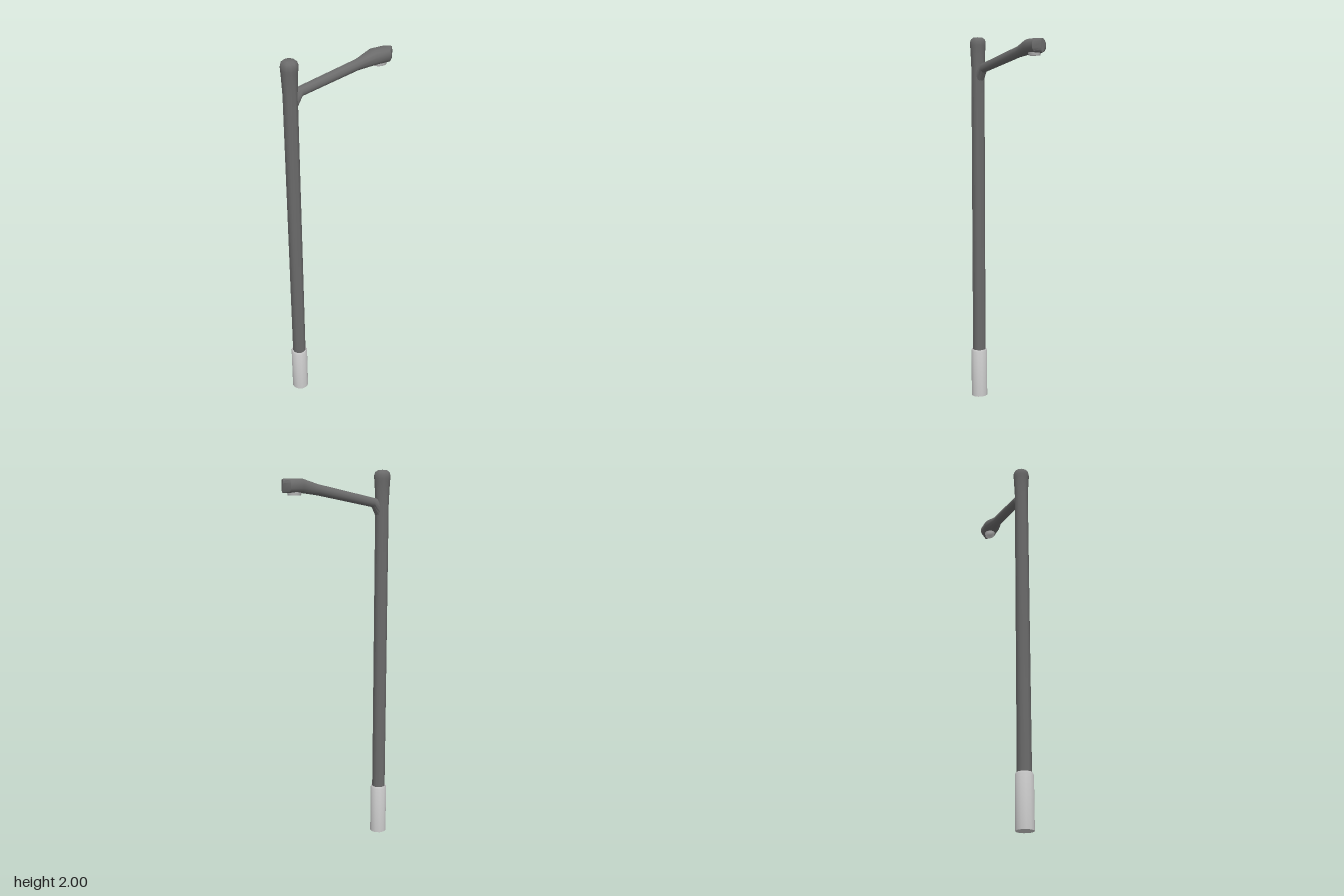
import * as THREE from 'three';
import { toCreasedNormals } from 'three/addons/utils/BufferGeometryUtils.js';

const SIDES = 12;
const POLE_X = -0.255;

// Turned part around the pole axis, profile given as [radius, y] from bottom to top
function turned(name, profile, material) {
  const points = profile.map(([r, y]) => new THREE.Vector2(r, y));
  const geometry = new THREE.LatheGeometry(points, SIDES, Math.PI / SIDES);
  const mesh = new THREE.Mesh(toCreasedNormals(geometry, 0.9), material);
  mesh.name = name;
  mesh.position.x = POLE_X;
  return mesh;
}

// Skin over upright oval sections [x, bottom, top, halfWidth, roundness]
function loft(sections) {
  const positions = [], index = [];
  const soften = (v, p) => Math.sign(v) * Math.abs(v) ** p;
  for (const [x, bottom, top, halfWidth, p] of sections) {
    for (let j = 0; j < SIDES; j++) {
      const a = ((j + 0.5) / SIDES) * Math.PI * 2;
      const k = Math.cos(Math.PI / SIDES) ** p;
      positions.push(
        x,
        (bottom + top) / 2 + ((top - bottom) / 2) * soften(Math.cos(a), p) / k,
        halfWidth * soften(Math.sin(a), p) / k
      );
    }
  }
  for (let i = 0; i < sections.length - 1; i++) {
    for (let j = 0; j < SIDES; j++) {
      const a = i * SIDES + j, b = i * SIDES + (j + 1) % SIDES;
      index.push(a, b, a + SIDES, b, b + SIDES, a + SIDES);
    }
  }
  // Close the far end
  const last = (sections.length - 1) * SIDES;
  for (let j = 1; j < SIDES - 1; j++) index.push(last, last + j, last + j + 1);
  const geometry = new THREE.BufferGeometry();
  geometry.setAttribute('position', new THREE.Float32BufferAttribute(positions, 3));
  geometry.setIndex(index);
  return toCreasedNormals(geometry, 0.7);
}

export function createModel() {
  const group = new THREE.Group();
  const dark = new THREE.MeshStandardMaterial({ color: 0x6b6b6b });
  const light = new THREE.MeshStandardMaterial({ color: 0xcccccc });

  // Base sleeve with a bevelled rim
  group.add(turned('base', [
    [0, 0], [0.045, 0], [0.045, 0.26], [0.041, 0.27], [0.03, 0.27]
  ], light));

  // Pole flaring into a domed cap
  group.add(turned('pole', [
    [0.036, 0.25], [0.036, 1.83], [0.041, 1.94], [0.043, 1.955],
    [0.043, 1.972], [0.038, 1.988], [0.026, 1.997], [0, 2]
  ], dark));

  // Bracket, sloping arm and lamp head in one skin
  const arm = new THREE.Mesh(loft([
    [-0.24, 1.73, 1.852, 0.026, 1],
    [-0.2, 1.812, 1.86, 0.025, 1],
    [0.11, 1.875, 1.93, 0.025, 1],
    [0.2, 1.888, 1.958, 0.044, 0.75],
    [0.27, 1.888, 1.958, 0.044, 0.75],
    [0.298, 1.89, 1.956, 0.01, 0.75]
  ]), dark);
  arm.name = 'armAndLampHead';
  group.add(arm);

  // Oval lens under the lamp head
  const lensGeometry = toCreasedNormals(new THREE.CylinderGeometry(1, 0.85, 0.022, 16), 0.7);
  const lens = new THREE.Mesh(lensGeometry, light);
  lens.name = 'lens';
  lens.scale.set(0.04, 1, 0.03);
  lens.position.set(0.235, 1.888, 0);
  group.add(lens);

  return group;
}
